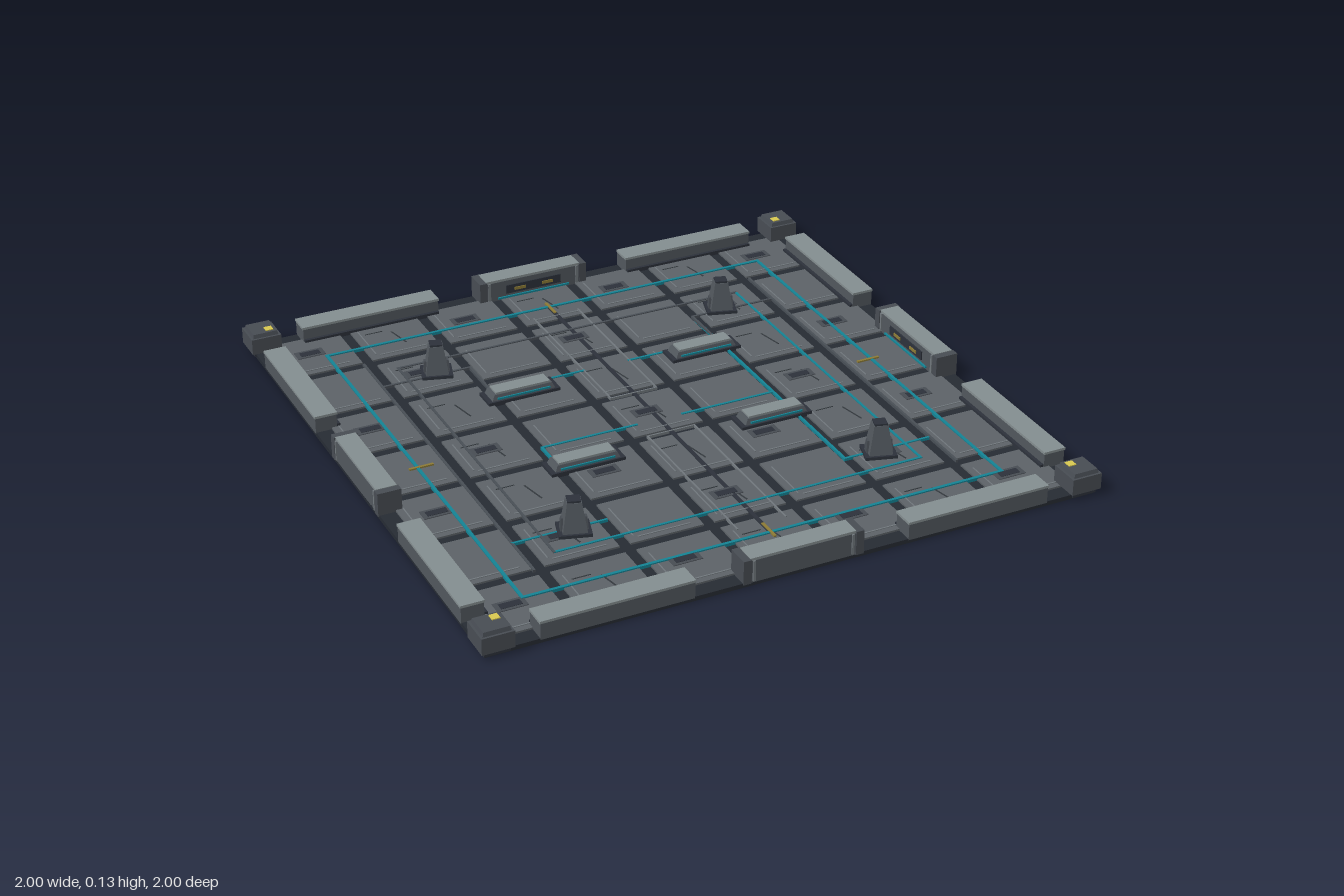
import * as THREE from 'three';

const mat = (color) => new THREE.MeshStandardMaterial({ color, flatShading: true });
const M = {
  base: mat(0x262b33), panel: mat(0x5c6267), trim: mat(0x70777c), dark: mat(0x2c313a),
  scratch: mat(0x33383d), wall: mat(0x51575d), cap: mat(0x838d8f), post: mat(0x474c53),
  teal: mat(0x148394), dimLine: mat(0x484e55), yellow: mat(0xd8c850), amber: mat(0x8c7a35),
};

// Box given by its centre in x and z and its bottom and top heights
function box(parent, name, m, x, z, w, d, y0, y1) {
  const mesh = new THREE.Mesh(new THREE.BoxGeometry(w, y1 - y0, d), m);
  mesh.position.set(x, (y0 + y1) / 2, z);
  mesh.name = name;
  parent.add(mesh);
  return mesh;
}

// Box whose top face is scaled, for tapered blocks
function taper(parent, name, m, x, z, w, d, y0, y1, sx, sz) {
  const mesh = box(parent, name, m, x, z, w, d, y0, y1);
  const p = mesh.geometry.attributes.position;
  for (let i = 0; i < p.count; i++) {
    if (p.getY(i) > 0) p.setXYZ(i, p.getX(i) * sx, p.getY(i), p.getZ(i) * sz);
  }
  mesh.geometry.computeVertexNormals();
  return mesh;
}

function group(parent, name, x = 0, z = 0, turn = 0) {
  const g = new THREE.Group();
  g.name = name;
  g.position.set(x, 0, z);
  g.rotation.y = turn;
  parent.add(g);
  return g;
}

const TOP = 0.02; // floor panel height

// Thin strip on the floor between two points along one axis
function line(parent, name, m, x0, z0, x1, z1, t = 0.008, h = 0.003) {
  box(parent, name, m, (x0 + x1) / 2, (z0 + z1) / 2,
    Math.abs(x1 - x0) + t, Math.abs(z1 - z0) + t, TOP - 0.006, TOP + h);
}

function addPanels(root) {
  const g = group(root, 'floorPanels');
  const pitch = 0.272, size = 0.236;
  for (let i = 0; i < 7; i++) {
    for (let j = 0; j < 7; j++) {
      const x = (i - 3) * pitch, z = (j - 3) * pitch;
      box(g, 'floorPanel', M.panel, x, z, size, size, 0.008, TOP);
      // raised edge trims
      box(g, 'panelTrim', M.trim, x, z + 0.095, 0.17, 0.005, TOP - 0.002, TOP + 0.002);
      box(g, 'panelTrim', M.trim, x - 0.095, z, 0.004, 0.17, TOP - 0.002, TOP + 0.001);
      if ((i + j) % 2 === 0) {
        // recessed vent with dark core
        box(g, 'ventFrame', M.post, x - 0.015, z - 0.012, 0.094, 0.046, TOP - 0.002, TOP + 0.002);
        box(g, 'ventCore', M.dark, x - 0.015, z - 0.012, 0.066, 0.026, TOP, TOP + 0.003);
      }
      if (i % 2 === 1) {
        // wear marks
        const s = box(g, 'scratch', M.scratch, x + 0.015, z + 0.005, 0.005, 0.09, TOP - 0.002, TOP + 0.001);
        s.rotation.y = 0.2;
        box(g, 'scratch', M.scratch, x - 0.05, z - 0.055, 0.06, 0.004, TOP - 0.002, TOP + 0.001);
      }
    }
  }
}

function addFloorLines(root) {
  const g = group(root, 'floorLines');
  const rect = (name, m, r, t, h) => {
    for (const s of [-1, 1]) {
      line(g, name, m, -r, s * r, r, s * r, t, h);
      line(g, name, m, s * r, -r, s * r, r, t, h);
    }
  };
  rect('outerLightLine', M.teal, 0.787, 0.01, 0.004);
  // inner frame, lit on two sides
  line(g, 'innerLine', M.dimLine, -0.61, -0.61, 0.61, -0.61);
  line(g, 'innerLine', M.dimLine, -0.61, -0.61, -0.61, 0.61);
  line(g, 'innerLightLine', M.teal, -0.61, 0.61, 0.61, 0.61);
  line(g, 'innerLightLine', M.teal, 0.61, -0.61, 0.61, 0.61);
  // circuit runs on both halves
  for (const s of [-1, 1]) {
    line(g, 'circuitLine', M.dimLine, s * 0.7, -0.68, s * 0.7, 0.67);
    line(g, 'circuitLine', M.dimLine, s * 0.7, -0.515, s * 0.4, -0.515);
    line(g, 'circuitLight', M.teal, s * 0.7, 0.515, s * 0.4, 0.515);
    line(g, 'circuitLight', M.teal, s * 0.4, -0.335, s * 0.08, -0.335);
    line(g, 'circuitLight', M.teal, s * 0.4, 0.053, s * 0.08, 0.053);
    line(g, 'circuitLight', M.teal, s * 0.4, 0.053, s * 0.4, 0.15);
    line(g, 'circuitLine', M.dimLine, s * 0.4, -0.515, s * 0.4, -0.335);
    // central lane borders
    for (const e of [-1, 1]) line(g, 'laneBorder', M.trim, s * 0.08, e * 0.135, s * 0.08, e * 0.73, 0.005);
    line(g, 'laneEnd', M.trim, -0.08, s * 0.133, 0.08, s * 0.133, 0.005);
    // amber guide marks
    line(g, 'guideMark', M.amber, 0, s * 0.74, 0, s * 0.81, 0.009, 0.005);
    line(g, 'guideMark', M.amber, s * 0.74, 0, s * 0.81, 0, 0.009, 0.005);
  }
  line(g, 'circuitLight', M.teal, 0.4, -0.515, 0.4, 0.515);
  line(g, 'laneSeam', M.dark, 0, -0.78, 0, 0.78, 0.014, 0.002);
}

// One side of the border, built along +z and turned into place
function addBorder(root, turn) {
  const g = group(root, 'borderWalls', 0, 0, turn);
  for (const s of [-1, 1]) {
    box(g, 'wallSegment', M.wall, s * 0.583, 0.951, 0.474, 0.07, 0.01, 0.063);
    box(g, 'wallCap', M.cap, s * 0.583, 0.951, 0.478, 0.074, 0.063, 0.071);
    box(g, 'wallFoot', M.dark, s * 0.583, 0.911, 0.47, 0.012, 0.01, 0.028);
    box(g, 'gateJamb', M.post, s * 0.182, 0.951, 0.026, 0.076, 0.01, 0.088);
    box(g, 'gateRib', M.trim, s * 0.16, 0.951, 0.008, 0.076, 0.015, 0.082);
  }
  box(g, 'gateBlock', M.wall, 0, 0.951, 0.34, 0.068, 0.01, 0.082);
  box(g, 'gateCap', M.cap, 0, 0.951, 0.342, 0.066, 0.082, 0.09);
  // inner face details
  box(g, 'gatePanel', M.dark, 0, 0.916, 0.2, 0.006, 0.035, 0.065);
  for (const x of [-0.05, 0.05]) box(g, 'gateLamp', M.amber, x, 0.913, 0.04, 0.006, 0.044, 0.054);
  box(g, 'gateLight', M.teal, 0, 0.914, 0.26, 0.006, 0.02, 0.026);
}

function addCorner(root, sx, sz) {
  const g = group(root, 'cornerBlock', sx * 0.95, sz * 0.95);
  box(g, 'cornerFoot', M.dark, 0, 0, 0.08, 0.08, 0.005, 0.022);
  box(g, 'cornerBody', M.post, 0, 0, 0.1, 0.1, 0.02, 0.073);
  taper(g, 'cornerTop', M.post, 0, 0, 0.086, 0.086, 0.073, 0.086, 0.92, 0.92);
  box(g, 'cornerLamp', M.yellow, -sx * 0.018, -sz * 0.018, 0.025, 0.025, 0.08, 0.089);
}

function addPylon(root, x, z) {
  const g = group(root, 'pylon', x, z, -0.29);
  box(g, 'pylonFoot', M.dark, 0, 0, 0.1, 0.085, 0.015, 0.03);
  taper(g, 'pylonBody', M.wall, 0, 0, 0.074, 0.07, 0.03, 0.125, 0.6, 0.6);
  box(g, 'pylonCap', M.dark, 0, 0, 0.04, 0.038, 0.123, 0.131);
  for (const s of [-1, 1]) {
    taper(g, 'pylonFin', M.post, s * 0.036, 0, 0.012, 0.03, 0.03, 0.07, 0.5, 0.6);
  }
}

function addConsole(root, x, z) {
  const g = group(root, 'console', x, z);
  box(g, 'consoleFoot', M.dark, 0, 0, 0.245, 0.08, 0.015, 0.03);
  taper(g, 'consoleBody', M.wall, 0, 0, 0.215, 0.066, 0.03, 0.049, 0.92, 0.85);
  box(g, 'consoleTop', M.cap, 0, 0, 0.185, 0.05, 0.049, 0.055);
  for (const s of [-1, 1]) box(g, 'consoleLight', M.teal, 0, s * 0.033, 0.18, 0.005, 0.033, 0.039);
}

export function createModel() {
  const root = new THREE.Group();
  root.name = 'arenaFloor';
  box(root, 'baseSlab', M.base, 0, 0, 1.97, 1.97, 0, 0.014);
  addPanels(root);
  addFloorLines(root);
  for (let k = 0; k < 4; k++) addBorder(root, k * Math.PI / 2);
  for (const sx of [-1, 1]) {
    for (const sz of [-1, 1]) {
      addCorner(root, sx, sz);
      addPylon(root, sx * 0.51, sz * 0.528);
    }
    for (const z of [-0.293, 0.188]) addConsole(root, sx * 0.322, z);
  }
  return root;
}
